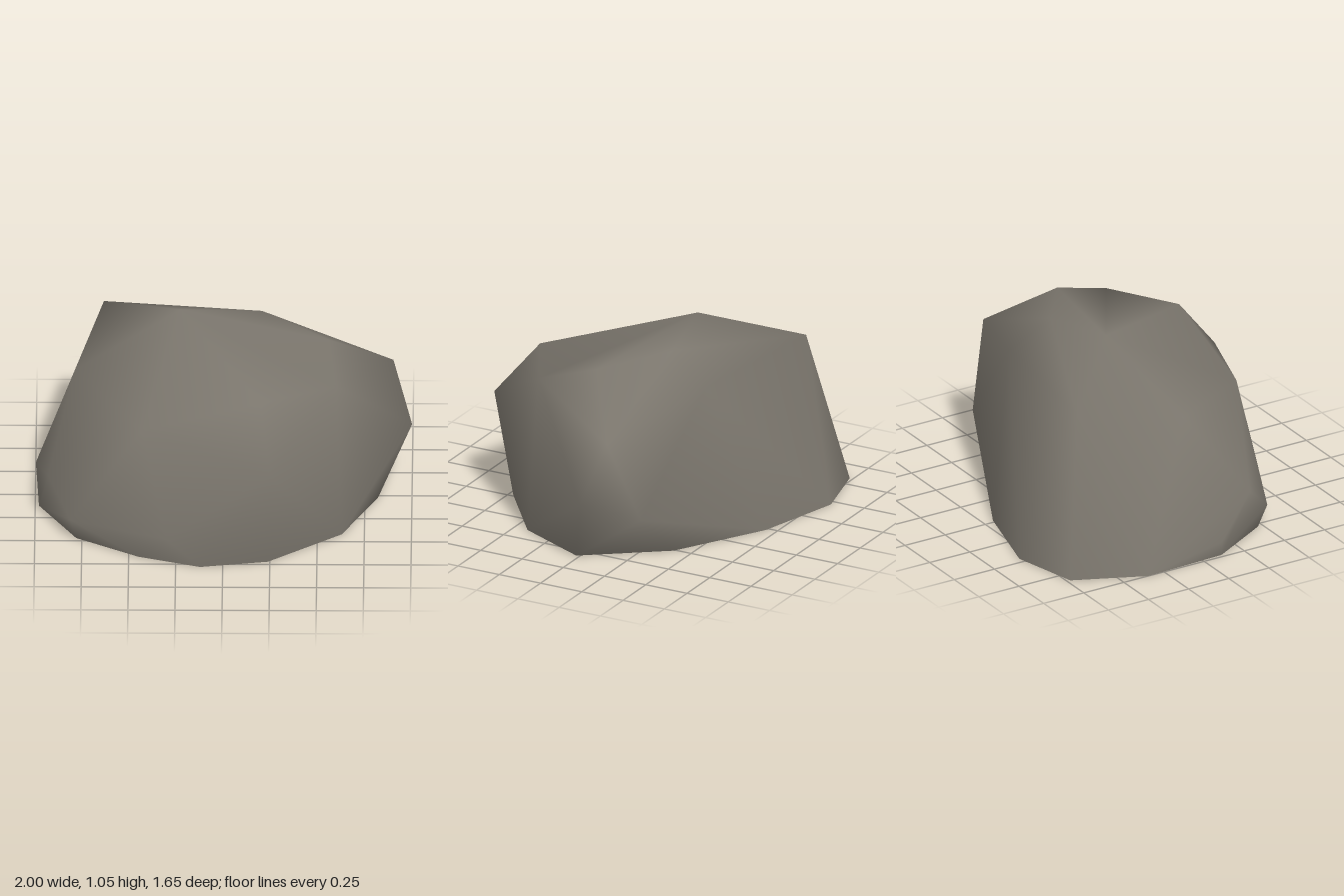
import * as THREE from 'three';
import { mergeVertices } from 'three/addons/utils/BufferGeometryUtils.js';
import { ConvexGeometry } from 'three/addons/geometries/ConvexGeometry.js';

// Outline where the boulder meets the ground: [x, z]
const base = [
  [-0.46, -0.82], [-0.83, -0.73], [-1, -0.35], [-0.98, 0.12], [-0.78, 0.47], [-0.45, 0.67],
  [-0.12, 0.78], [0.24, 0.72], [0.63, 0.42], [0.82, 0.02], [0.51, -0.4], [0.02, -0.69],
];
// Corners of the flanks: [x, y, z]
const flanks = [
  [-0.97, 0.07, 0.13], [-0.81, 0.13, 0.51], [-0.3, 0.15, 0.75], [-0.93, 0.3, 0.33],
  [0.25, 0.58, 0.83], [1, 0.38, -0.1], [0.78, 0.26, -0.35],
];
// Corners of the shoulders
const shoulders = [
  [-0.64, 0.86, -0.57], [-0.79, 0.76, 0], [-0.43, 0.7, 0.55],
  [0.9, 0.71, -0.21], [0.25, 0.85, -0.45], [0.2, 1.0, -0.22],
];
// Corners of the top facet: peak, front left, front right, back right
const facet = [[-0.23, 1.05, -0.14], [0.2, 0.885, 0.58], [0.6, 0.87, 0.37], [0.56, 0.97, 0.04]];

// Smooth shell stretched over the corners, left open underneath
function boulderGeometry() {
  const corners = [...base.map(([x, z]) => [x, 0, z]), ...flanks, ...shoulders, ...facet];
  const hull = new ConvexGeometry(corners.map((c) => new THREE.Vector3(...c)));
  const p = hull.getAttribute('position');
  const facetPoints = facet.map((c) => new THREE.Vector3(...c));
  const inFacet = (v) => facetPoints.some((f) => f.distanceTo(v) < 0.001);
  const kept = [];
  for (let i = 0; i < p.count; i += 3) {
    const tri = [i, i + 1, i + 2].map((k) => new THREE.Vector3().fromBufferAttribute(p, k));
    const onGround = tri.every((v) => v.y < 0.001);
    if (!onGround && !tri.every(inFacet)) tri.forEach((v) => kept.push(...v.toArray()));
  }
  // The top facet folds inward along a shallow valley from the peak
  const [peak, frontLeft, frontRight, backRight] = facet;
  kept.push(...peak, ...frontLeft, ...frontRight, ...peak, ...frontRight, ...backRight);

  const shell = new THREE.BufferGeometry();
  shell.setAttribute('position', new THREE.Float32BufferAttribute(kept, 3));
  const smooth = mergeVertices(shell, 0.001);
  smooth.computeVertexNormals();
  return smooth;
}

export function createModel() {
  const stone = new THREE.MeshStandardMaterial({ color: 0x7b766d, side: THREE.DoubleSide });
  stone.name = 'stone grey';
  const boulder = new THREE.Mesh(boulderGeometry(), stone);
  boulder.name = 'boulder';
  const group = new THREE.Group();
  group.name = 'rock';
  group.add(boulder);
  return group;
}
